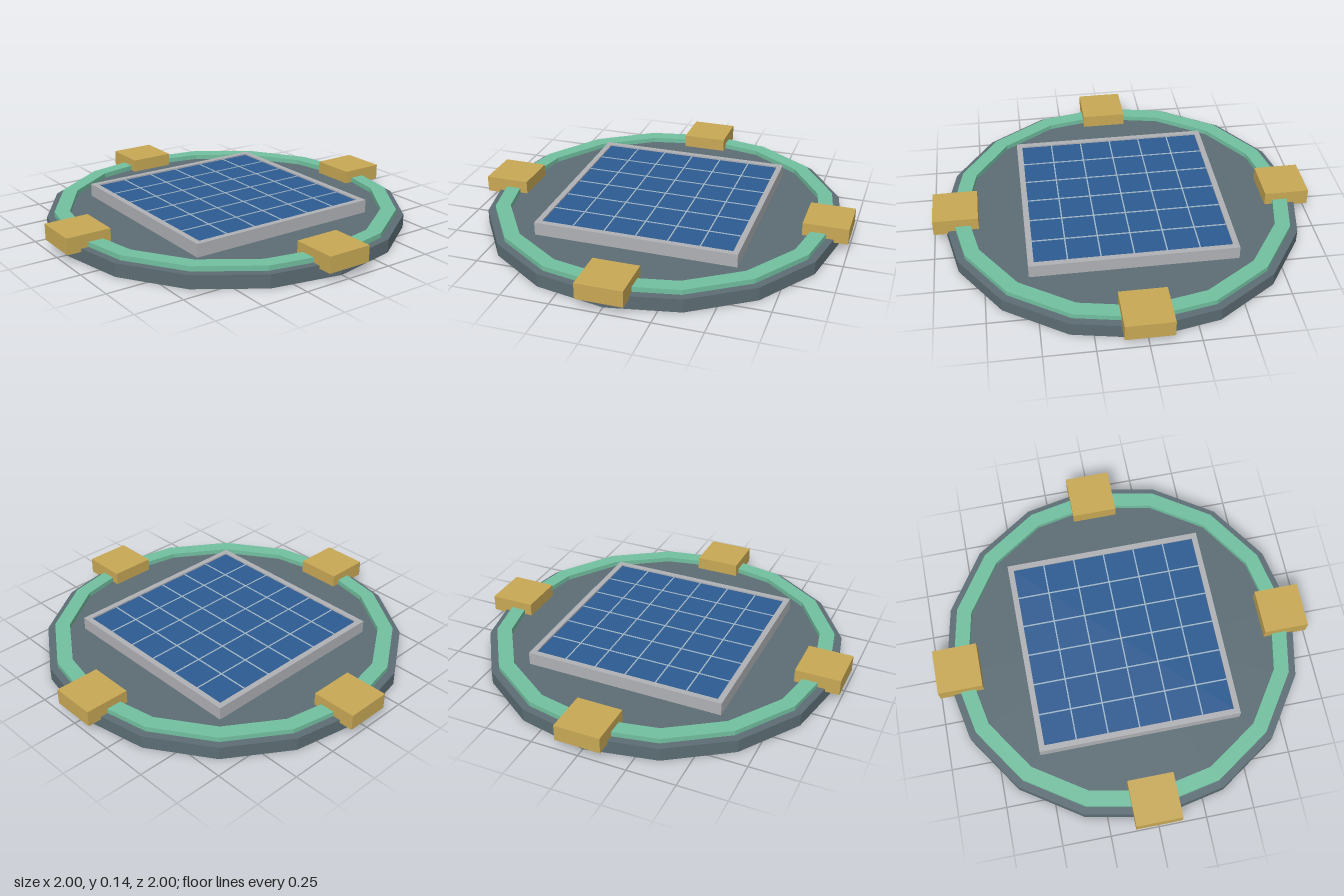
import * as THREE from 'three';

const mat = (name, color) => {
  const m = new THREE.MeshStandardMaterial({ color, flatShading: true });
  m.name = name;
  return m;
};

export function createModel() {
  const slate = mat('slate', 0x5c6d74);
  const mint = mat('mint', 0x72c0a0);
  const brass = mat('brass', 0xc9a955);
  const silver = mat('silver', 0xb0b1b5);
  const blue = mat('cellBlue', 0x2c5b92);
  const pale = mat('gridPale', 0x9fb6c8);

  const model = new THREE.Group();
  model.name = 'solarDisc';

  const add = (name, geometry, material, x = 0, y = 0, z = 0, parent = model) => {
    const mesh = new THREE.Mesh(geometry, material);
    mesh.name = name;
    mesh.position.set(x, y, z);
    parent.add(mesh);
    return mesh;
  };

  // Sixteen-sided base disc
  add('baseDisc', new THREE.CylinderGeometry(0.95, 0.95, 0.07, 16), slate, 0, 0.035, 0);

  // Raised rim: rectangular section turned around the axis
  const section = [[0.83, 0.066], [0.91, 0.066], [0.91, 0.096], [0.83, 0.096], [0.83, 0.066]];
  add('rimRing', new THREE.LatheGeometry(section.map(([r, y]) => new THREE.Vector2(r, y)), 16), mint);

  // Four clamps over the rim
  for (let i = 0; i < 4; i++) {
    const a = (i * Math.PI) / 2;
    const clamp = add('clamp', new THREE.BoxGeometry(0.24, 0.085, 0.236), brass,
      Math.sin(a) * 0.882, 0.0965, Math.cos(a) * 0.882);
    clamp.rotation.y = a;
  }

  // Panel frame with a square opening
  const square = (Type, h) => new Type([[-h, -h], [h, -h], [h, h], [-h, h]].map(([x, y]) => new THREE.Vector2(x, y)));
  const frameShape = square(THREE.Shape, 0.53);
  frameShape.holes.push(square(THREE.Path, 0.5));
  const frameGeo = new THREE.ExtrudeGeometry(frameShape, { depth: 0.07, bevelEnabled: false });
  frameGeo.rotateX(-Math.PI / 2);
  add('panelFrame', frameGeo, silver, 0, 0.069, 0);

  // Cell sheet and its grid lines
  add('cellSheet', new THREE.BoxGeometry(1.0, 0.06, 1.0), blue, 0, 0.101, 0);
  const grid = new THREE.Group();
  grid.name = 'cellGrid';
  model.add(grid);
  for (let i = -2; i <= 2; i++) {
    const p = i / 6;
    add('gridLineLengthwise', new THREE.BoxGeometry(0.007, 0.004, 1.0), pale, p, 0.132, 0, grid);
    add('gridLineCrosswise', new THREE.BoxGeometry(1.0, 0.004, 0.007), pale, 0, 0.1315, p, grid);
  }
  return model;
}
